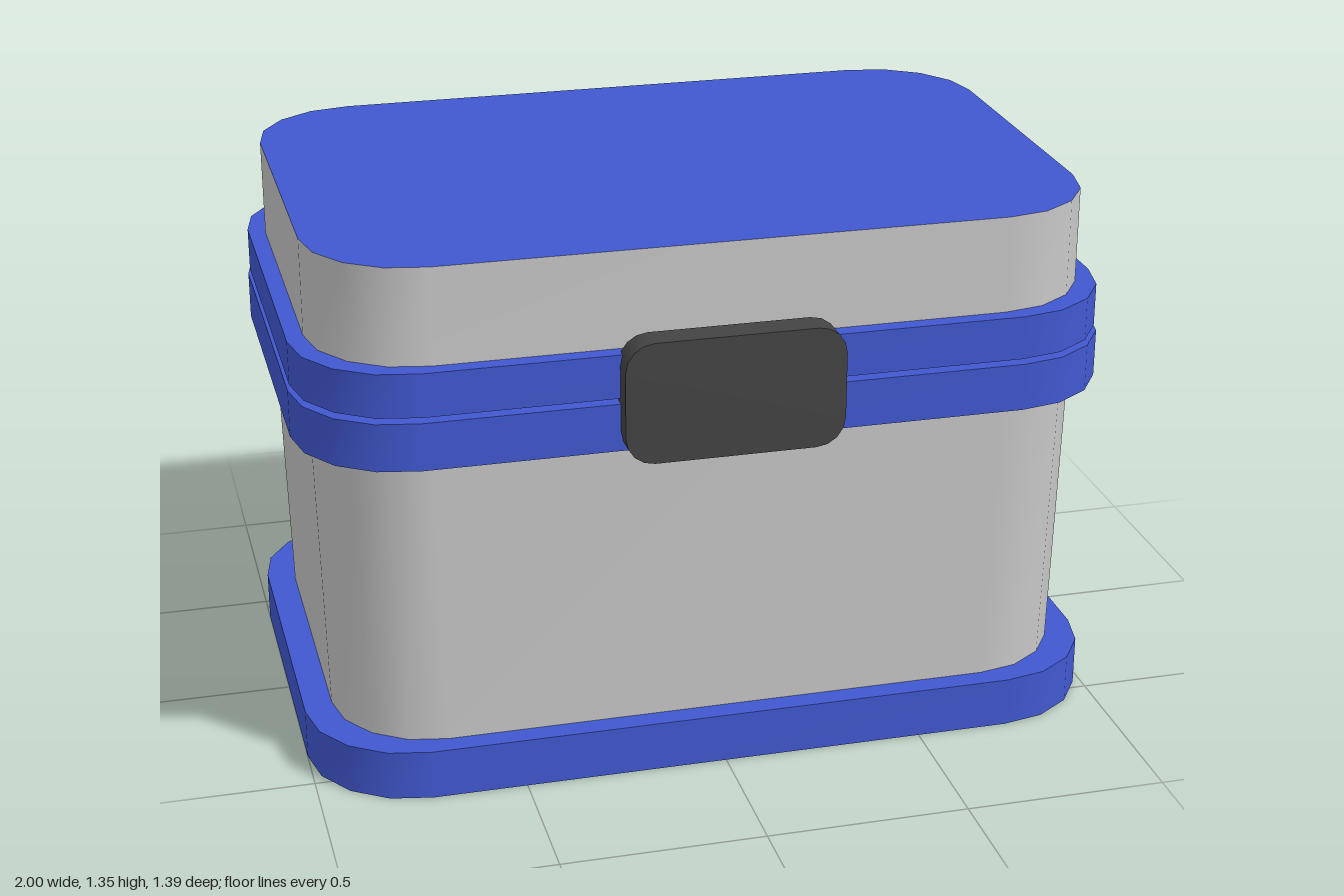
import * as THREE from 'three';

const material = (name, color) => {
  const m = new THREE.MeshStandardMaterial({ color });
  m.name = name;
  return m;
};

// Rounded rectangle outline at height y, with four facets per corner
function ring(y, x0, x1, zBack, zFront, r, steps = 4) {
  const centres = [[x1 - r, zFront - r], [x0 + r, zFront - r], [x0 + r, zBack + r], [x1 - r, zBack + r]];
  const points = [];
  centres.forEach(([cx, cz], corner) => {
    for (let i = 0; i <= steps; i++) {
      const a = (corner + i / steps) * Math.PI / 2;
      points.push(new THREE.Vector3(cx + r * Math.cos(a), y, cz + r * Math.sin(a)));
    }
  });
  return points;
}

// Smooth wall between two rings, with flat caps; groups: 0 wall, 1 bottom, 2 top
function loft(lower, upper) {
  const n = lower.length;
  const positions = [];
  const index = [];
  const geometry = new THREE.BufferGeometry();
  [lower, upper, lower, upper].forEach(r => r.forEach(p => positions.push(p.x, p.y, p.z)));
  for (let i = 0; i < n; i++) {
    const j = (i + 1) % n;
    index.push(i, n + i, j, j, n + i, n + j);
  }
  geometry.addGroup(0, index.length, 0);
  for (let i = 1; i < n - 1; i++) index.push(2 * n, 2 * n + i, 2 * n + i + 1);
  geometry.addGroup(n * 6, (n - 2) * 3, 1);
  for (let i = 1; i < n - 1; i++) index.push(3 * n, 3 * n + i + 1, 3 * n + i);
  geometry.addGroup(n * 6 + (n - 2) * 3, (n - 2) * 3, 2);
  geometry.setAttribute('position', new THREE.Float32BufferAttribute(positions, 3));
  geometry.setIndex(index);
  geometry.computeVertexNormals();
  return geometry;
}

export function createModel() {
  const grey = material('light grey', 0xc8c8c8);
  const blue = material('blue', 0x4158d0);
  const dark = material('dark grey', 0x444444);

  const model = new THREE.Group();
  model.name = 'box';
  const add = (name, geometry, mat) => {
    const mesh = new THREE.Mesh(geometry, mat);
    mesh.name = name;
    model.add(mesh);
  };

  // Base, slightly flared body and its rim
  add('base', loft(ring(0, -1, 1, -0.68, 0.635, 0.27), ring(0.125, -1, 1, -0.68, 0.635, 0.27)), blue);
  add('body', loft(ring(0.125, -0.93, 0.93, -0.625, 0.58, 0.25), ring(0.87, -0.948, 0.945, -0.637, 0.592, 0.25)), grey);
  add('bodyRim', loft(ring(0.87, -1, 0.995, -0.695, 0.65, 0.27), ring(0.988, -1, 0.995, -0.695, 0.65, 0.27)), blue);

  // Lid rim and lid with a blue top face, held just above the body rim
  add('lidRim', loft(ring(1, -0.995, 0.99, -0.695, 0.645, 0.27), ring(1.108, -0.995, 0.99, -0.695, 0.645, 0.27)), blue);
  add('lid', loft(ring(1.108, -0.953, 0.947, -0.655, 0.605, 0.26), ring(1.347, -0.953, 0.947, -0.655, 0.605, 0.26)), [grey, grey, blue]);

  // Latch plate bridging both rims: a rounded slab turned to face the front
  const latch = loft(ring(0, -0.265, 0.265, -0.15, 0.15, 0.07), ring(0.072, -0.265, 0.265, -0.15, 0.15, 0.07));
  latch.rotateX(Math.PI / 2).translate(0, 1, 0.625);
  add('latch', latch, dark);

  return model;
}
